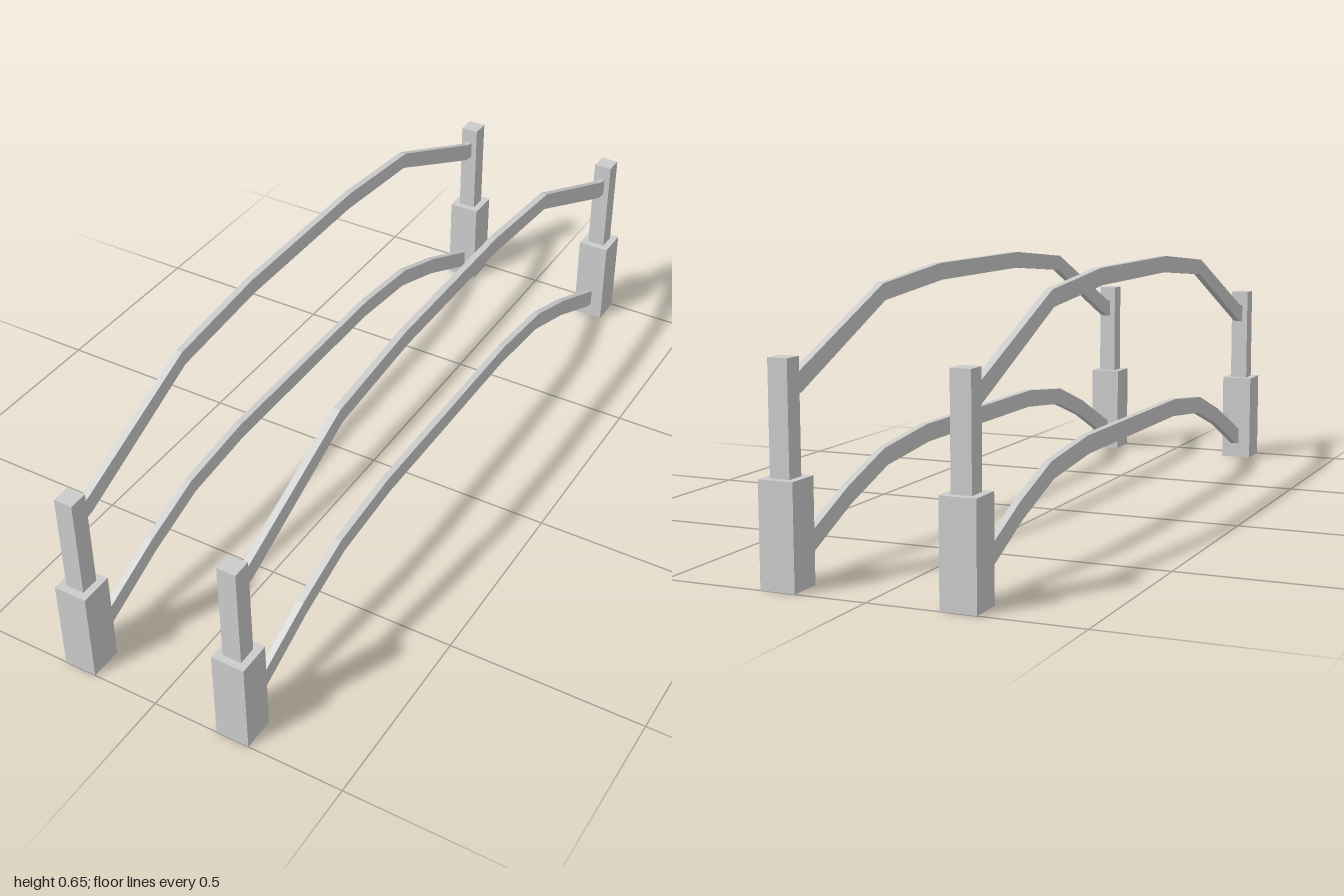
import * as THREE from 'three';

const material = new THREE.MeshStandardMaterial({ color: 0xcccccc, flatShading: true, side: THREE.DoubleSide });

// Half profiles of the rails from the end post to mid-span: [z, y of top, z, y of underside]
const UPPER = [[0.95, 0.457, 0.95, 0.41], [0.91, 0.464, 0.9, 0.418], [0.53, 0.624, 0.52, 0.584], [0.235, 0.652, 0.225, 0.61]];
const LOWER = [[0.95, 0.078, 0.95, 0.035], [0.91, 0.088, 0.89, 0.046], [0.705, 0.178, 0.695, 0.134],
  [0.535, 0.236, 0.52, 0.193], [0.316, 0.26, 0.305, 0.215]];

// Box without its bottom face, standing on y
function openBox(width, height, y) {
  const geometry = new THREE.BoxGeometry(width, height, width).translate(0, y + height / 2, 0);
  const index = Array.from(geometry.index.array);
  index.splice(18, 6); // bottom face
  geometry.setIndex(index);
  return geometry;
}

// Arched rail: mirrored profile extruded across its thickness
function railGeometry(half) {
  const top = half.map(([z, y]) => new THREE.Vector2(z, y));
  const under = half.map(([, , z, y]) => new THREE.Vector2(z, y));
  const mirror = (points) => points.map((p) => new THREE.Vector2(-p.x, p.y)).reverse();
  const outline = [...top, ...mirror(top), ...mirror(under).reverse(), ...under.slice().reverse()];
  const geometry = new THREE.ExtrudeGeometry(new THREE.Shape(outline), { depth: 0.017, bevelEnabled: false });
  return geometry.translate(0, 0, -0.0085).rotateY(-Math.PI / 2);
}

function addMesh(parent, name, geometry, z = 0) {
  const mesh = new THREE.Mesh(geometry, material);
  mesh.name = name;
  mesh.position.z = z;
  parent.add(mesh);
}

export function createModel() {
  const model = new THREE.Group();
  model.name = 'bridgeRailings';
  const base = openBox(0.085, 0.242, 0);
  const post = openBox(0.048, 0.26, 0.241);
  const upper = railGeometry(UPPER);
  const lower = railGeometry(LOWER);

  // One railing on each side
  for (const [name, x] of [['leftRailing', 0.213], ['rightRailing', -0.2145]]) {
    const railing = new THREE.Group();
    railing.name = name;
    railing.position.x = x;
    for (const [end, z] of [['front', 0.9575], ['back', -0.9575]]) {
      addMesh(railing, end + 'Base', base, z);
      addMesh(railing, end + 'Post', post, z);
    }
    addMesh(railing, 'upperRail', upper);
    addMesh(railing, 'lowerRail', lower);
    model.add(railing);
  }
  return model;
}
